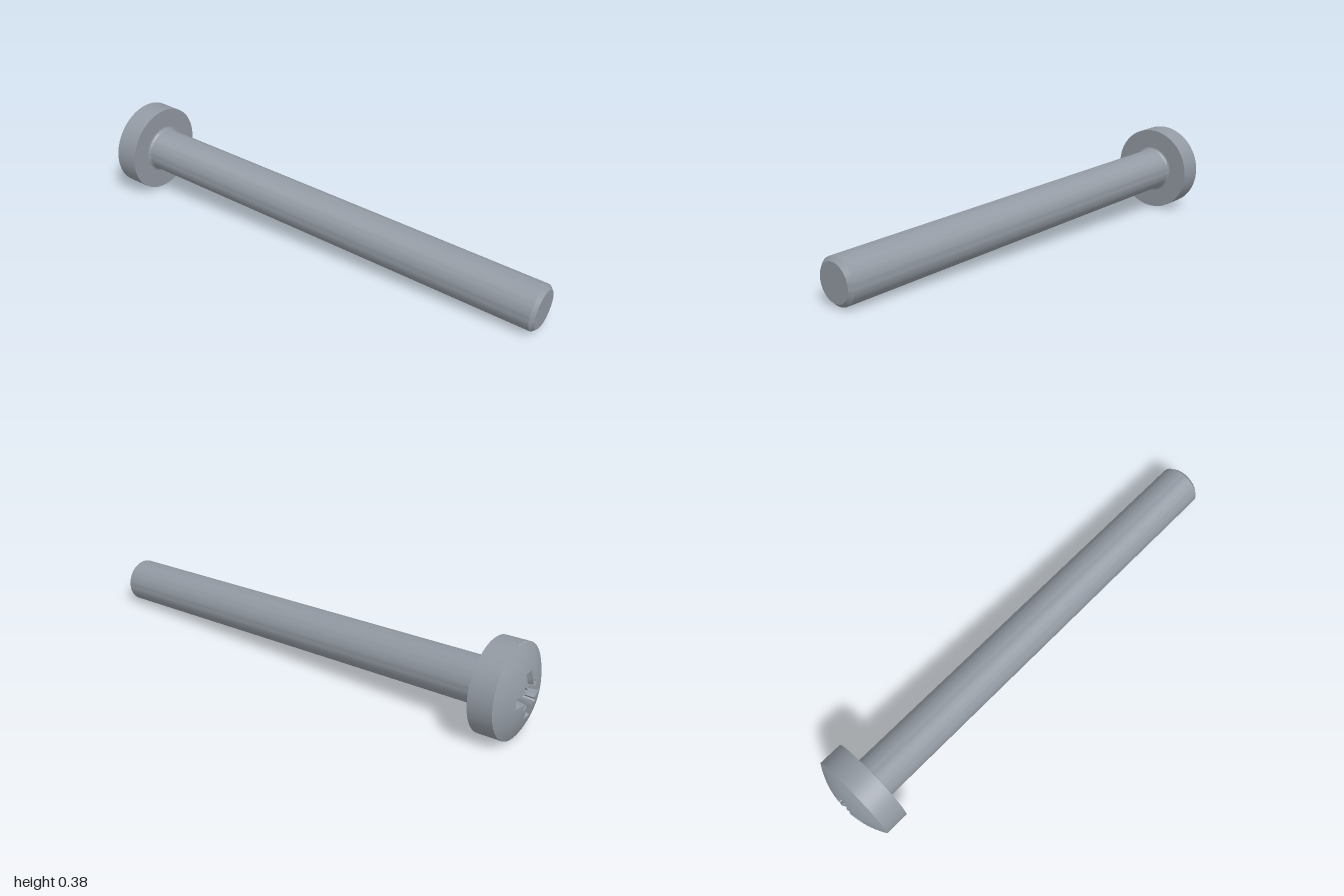
import * as THREE from 'three';
import { mergeVertices, toCreasedNormals } from 'three/addons/utils/BufferGeometryUtils.js';

const HEAD_R = 0.187, SHAFT_R = 0.0925, RIM_Y = -0.1, DOME_H = 0.052, CREASE = 0.45;

// Local frame: +y runs from the underside of the head (y = 0) to the tip.
function lathe(points) {
  const profile = points.map(([r, y]) => new THREE.Vector2(r, y));
  return toCreasedNormals(new THREE.LatheGeometry(profile, 64), CREASE);
}

// Height of the domed head face at radius r
function domeY(r) {
  const R = (HEAD_R ** 2 + DOME_H ** 2) / (2 * DOME_H);
  return RIM_Y - (Math.sqrt(R * R - r * r) - (R - DOME_H));
}

// Cross recess outline: four wide arms with a narrow notch between each pair
function recessOutline() {
  const quarter = [[0.09, -0.021], [0.09, 0.021], [0.04, 0.021], [0.032, 0.024],
    [0.047, 0.038], [0.038, 0.047], [0.024, 0.032], [0.021, 0.04]];
  const corners = [];
  for (let q = 0; q < 4; q++) {
    for (let [u, v] of quarter) {
      for (let k = 0; k < q; k++) [u, v] = [-v, u];
      corners.push(new THREE.Vector2(u, v));
    }
  }
  const points = [];
  corners.forEach((p, i) => {
    const next = corners[(i + 1) % corners.length];
    for (let s = 0; s < 3; s++) points.push(p.clone().lerp(next, s / 3));
  });
  return points;
}

// Rings from the recess floor up its walls, then out over the dome to the rim
function headFaceGeometry() {
  const outline = recessOutline(), n = outline.length;
  const rings = [
    outline.map(() => [0, -0.04, 0]),
    outline.map((p) => [p.y * 0.6, -0.055, p.x * 0.6]),
    outline.map((p) => [p.y, domeY(p.length()), p.x]),
  ];
  const steps = 8;
  for (let s = 1; s <= steps; s++) {
    rings.push(outline.map((p) => {
      const r = THREE.MathUtils.lerp(p.length(), HEAD_R, s / steps), a = p.angle();
      return [r * Math.sin(a), domeY(r), r * Math.cos(a)];
    }));
  }
  const index = [];
  for (let i = 0; i < rings.length - 1; i++) {
    for (let j = 0; j < n; j++) {
      const a = i * n + j, b = i * n + (j + 1) % n;
      if (i > 0) index.push(a, b, a + n);
      index.push(b + n, a + n, b);
    }
  }
  const geometry = new THREE.BufferGeometry();
  geometry.setAttribute('position', new THREE.Float32BufferAttribute(rings.flat(2), 3));
  geometry.setIndex(index);
  return toCreasedNormals(mergeVertices(geometry, 1e-6), CREASE);
}

export function createModel() {
  const steel = new THREE.MeshStandardMaterial({ color: 0x9299a2 });
  steel.name = 'steel grey';

  const screw = new THREE.Group();
  screw.name = 'screw';
  const add = (name, geometry) => {
    const mesh = new THREE.Mesh(geometry, steel);
    mesh.name = name;
    screw.add(mesh);
  };

  const start = new THREE.Vector3(-0.843, 0.187, -0.139);
  const end = new THREE.Vector3(0.983, 0.0925, 0.2535);
  const length = start.distanceTo(end);

  // Head: side wall with flat underside, and domed face with the recess
  add('headSide', lathe([[HEAD_R, RIM_Y], [HEAD_R, 0], [SHAFT_R, 0]]));
  add('headFace', headFaceGeometry());

  // Shaft: small fillet under the head, chamfered tip
  const fillet = 0.012, chamfer = 0.0155, profile = [];
  for (let i = 0; i <= 4; i++) {
    const a = (i / 4) * Math.PI / 2;
    profile.push([SHAFT_R + fillet * (1 - Math.sin(a)), fillet * (1 - Math.cos(a))]);
  }
  profile.push([SHAFT_R, length - chamfer], [SHAFT_R - chamfer, length], [0, length]);
  add('shaft', lathe(profile));

  // Lay the screw down, with one recess arm kept horizontal
  const axis = end.clone().sub(start).normalize();
  const side = new THREE.Vector3(0, 1, 0).cross(axis).normalize();
  const up = side.clone().cross(axis);
  screw.quaternion.setFromRotationMatrix(new THREE.Matrix4().makeBasis(side, axis, up));
  screw.position.copy(start);

  const model = new THREE.Group();
  model.name = 'panHeadScrew';
  model.add(screw);
  return model;
}
